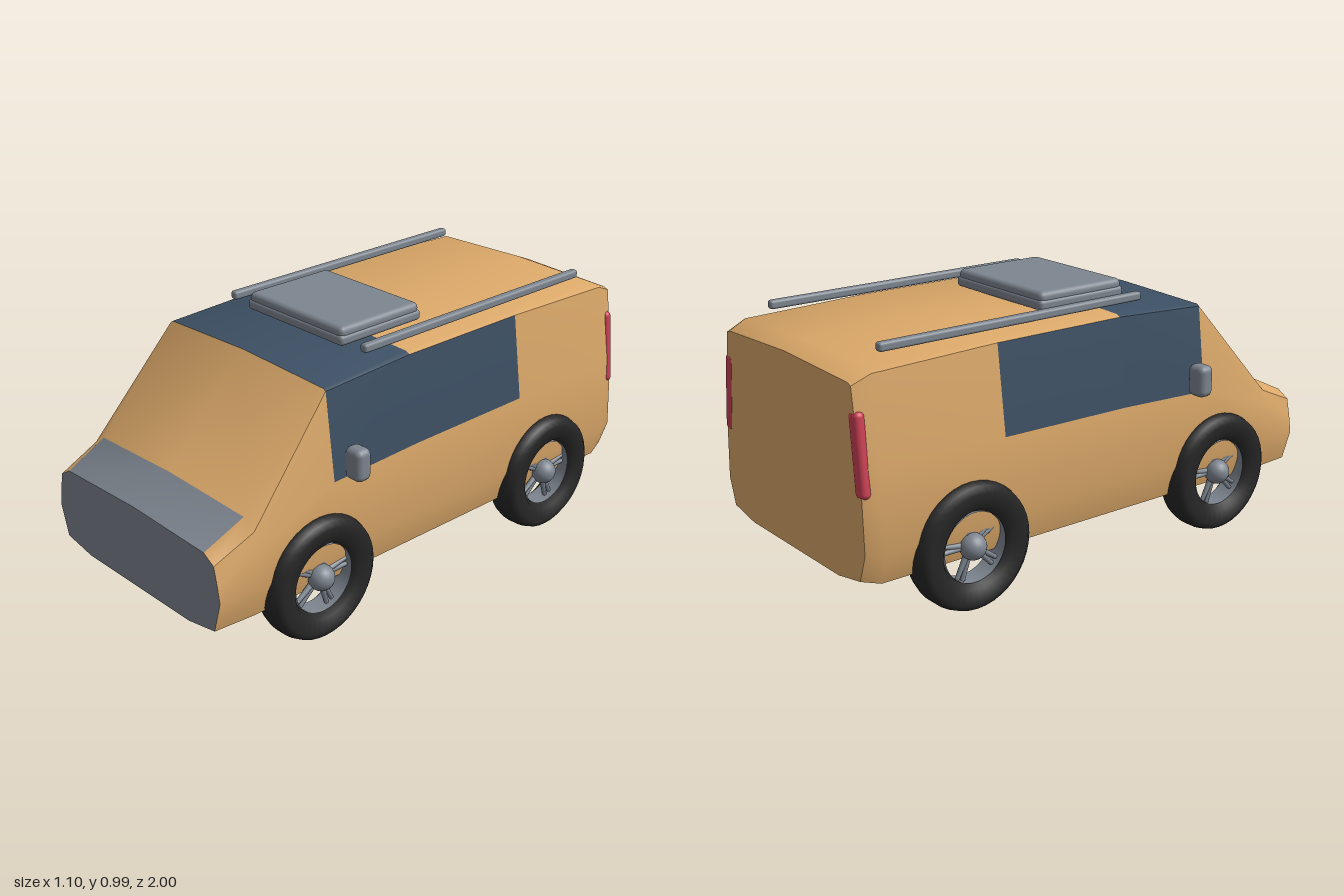
import * as THREE from 'three';
import { toCreasedNormals } from 'three/addons/utils/BufferGeometryUtils.js';
import { RoundedBoxGeometry } from 'three/addons/geometries/RoundedBoxGeometry.js';

const flat = (name, color, side = THREE.FrontSide) => {
  const m = new THREE.MeshStandardMaterial({ color, side });
  m.name = name;
  return m;
};

export function createModel() {
  const paint = flat('orange paint', 0xdba869);
  const grey = flat('grey trim', 0x7d858f, THREE.DoubleSide);
  const glass = flat('dark blue glass', 0x3c4f63);
  const rubber = flat('black rubber', 0x262626);
  const red = flat('red lamp', 0xcc4055);

  const model = new THREE.Group();
  model.name = 'van';
  const add = (parent, name, geometry, material, x = 0, y = 0, z = 0) => {
    const mesh = new THREE.Mesh(geometry, material);
    mesh.name = name;
    mesh.position.set(x, y, z);
    parent.add(mesh);
    return mesh;
  };

  // Body: half sections from floor centre, round the side, to roof centre
  const section = (z, belt, shoulder, edge, top, low = 0.155, wide = 0.478) => ({
    z,
    pts: [[0, low], [0.29, low], [wide - 0.035, low + 0.025], [wide, 0.3],
      belt, shoulder, edge, [0, top]],
  });
  const sections = [
    section(1.0, [0.455, 0.36], [0.44, 0.43], [0.39, 0.46], 0.472, 0.155, 0.465),
    section(0.84, [0.468, 0.44], [0.452, 0.5], [0.4, 0.535], 0.547),
    section(0.5, [0.465, 0.565], [0.423, 0.885], [0.412, 0.892], 0.905),
    section(0.11, [0.465, 0.58], [0.422, 0.905], [0.405, 0.913], 0.925),
    section(-0.435, [0.465, 0.585], [0.422, 0.905], [0.405, 0.913], 0.925),
    section(-0.93, [0.462, 0.585], [0.42, 0.89], [0.4, 0.9], 0.912),
    section(-1.0, [0.448, 0.585], [0.41, 0.86], [0.39, 0.868], 0.882, 0.175, 0.46),
  ];
  const faces = { paint: [], grey: [], glass: [] };
  const tri = (list, side, a, b, c) => {
    for (const p of side > 0 ? [a, b, c] : [a, c, b]) list.push(...p);
  };
  // Which colour covers the panel behind section i, on strip j
  const panel = (i, j) => {
    if (j === 0 || (i === 0 && j === 6)) return 'grey';
    if ((i === 2 && j >= 4) || (i === 3 && j === 4)) return 'glass';
    return 'paint';
  };
  for (const s of [1, -1]) {
    const at = (i, j) => {
      const [x, y] = sections[i].pts[j];
      return [s * x, y, sections[i].z];
    };
    const last = sections.length - 1;
    for (let j = 0; j < 7; j++) {
      for (let i = 0; i < last; i++) {
        const list = faces[panel(i, j)];
        tri(list, s, at(i, j), at(i + 1, j), at(i + 1, j + 1));
        tri(list, s, at(i, j), at(i + 1, j + 1), at(i, j + 1));
      }
      // Flat nose and tail
      tri(faces.grey, s, [0, 0.3, 1], at(0, j), at(0, j + 1));
      tri(faces.paint, s, [0, 0.5, -1], at(last, j + 1), at(last, j));
    }
  }
  // One geometry with a group per colour keeps the shading continuous
  const body = new THREE.BufferGeometry();
  const all = [...faces.paint, ...faces.grey, ...faces.glass];
  body.setAttribute('position', new THREE.Float32BufferAttribute(all, 3));
  const shaded = toCreasedNormals(body, 0.65);
  let start = 0;
  [faces.paint, faces.grey, faces.glass].forEach((list, k) => {
    shaded.addGroup(start, list.length / 3, k);
    start += list.length / 3;
  });
  add(model, 'body', shaded, [paint, grey, glass]);

  // Wheels: chamfered tyre, rim, hub and five spokes, turned onto the x axis
  const tyreProfile = [[0.128, -0.03], [0.145, -0.058], [0.2, -0.067], [0.222, -0.05],
    [0.23, -0.022], [0.23, 0.022], [0.222, 0.05], [0.2, 0.067], [0.145, 0.058],
    [0.128, 0.03], [0.128, -0.03]].map(([r, h]) => new THREE.Vector2(r, h));
  const tyre = new THREE.LatheGeometry(tyreProfile, 40);
  const rim = new THREE.CylinderGeometry(0.127, 0.127, 0.08, 40, 1, true);
  const spoke = new THREE.CylinderGeometry(0.008, 0.012, 0.1, 8);
  const hub = new THREE.SphereGeometry(0.048, 20, 12);
  for (const s of [1, -1]) {
    for (const z of [0.575, -0.585]) {
      const wheel = new THREE.Group();
      wheel.name = z > 0 ? 'frontWheel' : 'rearWheel';
      wheel.position.set(s * 0.453, 0.232, z);
      model.add(wheel);
      add(wheel, 'tyre', tyre, rubber).rotation.z = -Math.PI / 2;
      add(wheel, 'rim', rim, grey).rotation.z = Math.PI / 2;
      add(wheel, 'hub', hub, grey, s * 0.025);
      for (let k = 0; k < 5; k++) {
        const a = 0.07 + (k * 2 * Math.PI) / 5;
        for (const off of [-0.1, 0.1]) {
          const b = a + off;
          const rod = add(wheel, 'spoke', spoke, grey,
            s * 0.01, Math.sin(b) * 0.08, -Math.cos(b) * 0.08);
          rod.rotation.x = b - Math.PI / 2;
          rod.rotation.x = Math.atan2(-Math.cos(b), Math.sin(b));
        }
      }
    }
  }

  // Roof box: wide lower tray and slightly smaller lid
  add(model, 'roofBoxTray', new RoundedBoxGeometry(0.51, 0.04, 0.39, 3, 0.015), grey, 0, 0.945, 0.08);
  add(model, 'roofBoxLid', new RoundedBoxGeometry(0.5, 0.045, 0.38, 3, 0.02), grey, 0, 0.97, 0.08);

  // Paired fittings
  const rail = new RoundedBoxGeometry(0.032, 0.032, 1.125, 3, 0.01);
  const mirror = new RoundedBoxGeometry(0.08, 0.12, 0.065, 3, 0.024);
  const lamp = new RoundedBoxGeometry(0.055, 0.29, 0.04, 4, 0.019);
  for (const s of [1, -1]) {
    add(model, 'roofRail', rail, grey, s * 0.35, 0.948, -0.298);
    add(model, 'mirror', mirror, grey, s * 0.51, 0.632, 0.435);
    const tail = add(model, 'tailLamp', lamp, red, s * 0.424, 0.632, -0.984);
    tail.rotation.z = s * 0.1;
  }
  return model;
}
